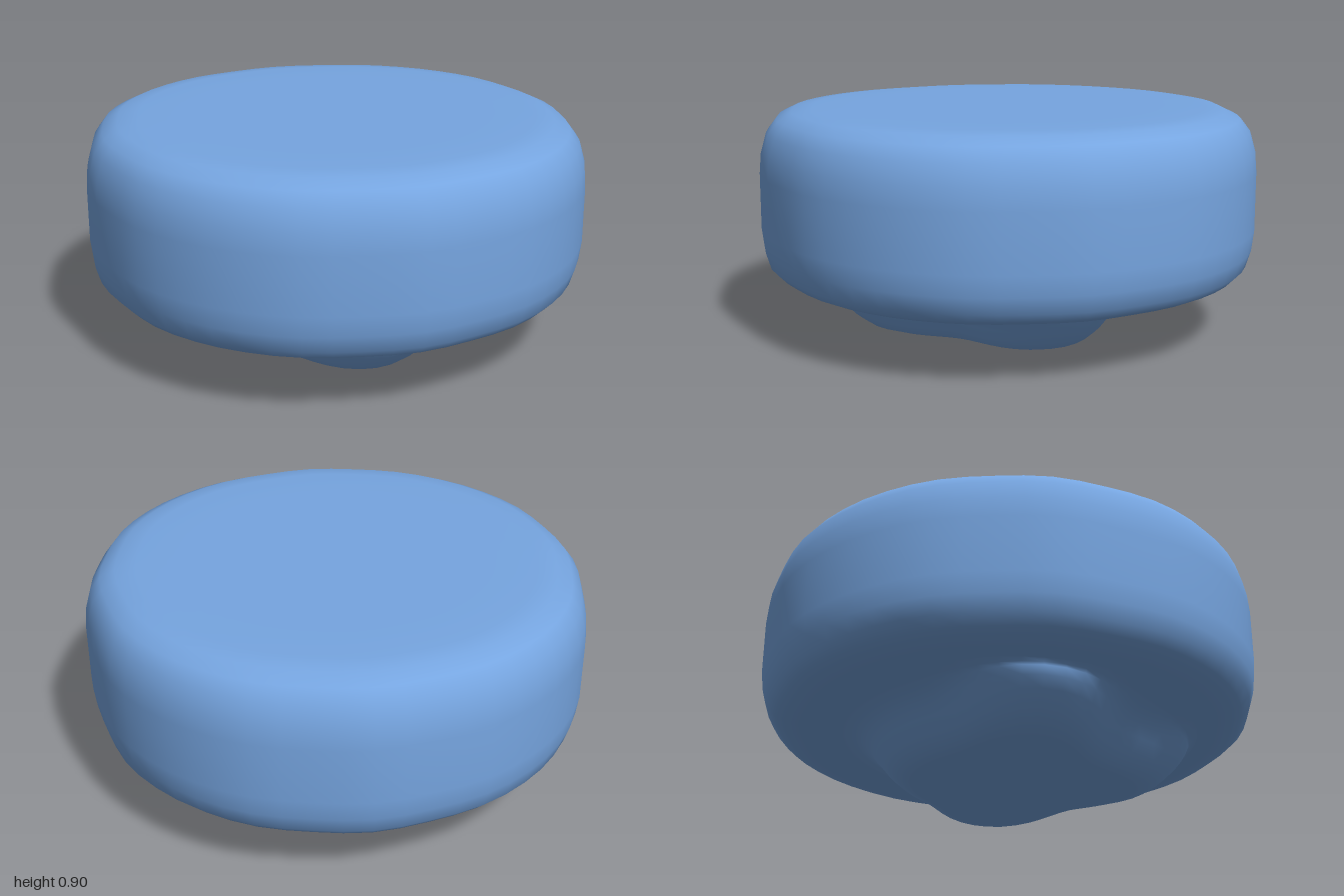
import * as THREE from 'three';
import { mergeVertices } from 'three/addons/utils/BufferGeometryUtils.js';

// Lathe a profile, move each vertex by a rule, then weld and smooth it.
function turned(profile, rule) {
  const points = profile.map(([r, y]) => new THREE.Vector2(r, y));
  let geo = new THREE.LatheGeometry(points, 56);
  geo.deleteAttribute('uv');
  geo.deleteAttribute('normal');
  const pos = geo.attributes.position;
  for (let i = 0; i < pos.count; i++) {
    const [x, y, z] = rule(pos.getX(i), pos.getY(i), pos.getZ(i));
    pos.setXYZ(i, x, y, z);
  }
  geo = mergeVertices(geo, 1e-4);
  geo.computeVertexNormals();
  return geo;
}

export function createModel() {
  const group = new THREE.Group();
  const blue = new THREE.MeshStandardMaterial({ color: 0x76a5e0 });
  blue.name = 'soft blue';

  // Broad round cap with soft rims and a slightly uneven outline
  const cap = new THREE.Mesh(turned([
    [0.74, 0.213], [0.82, 0.217], [0.89, 0.23], [0.935, 0.25], [0.97, 0.285],
    [0.99, 0.35], [1, 0.43], [1, 0.65], [0.993, 0.73], [0.97, 0.81], [0.93, 0.862],
    [0.87, 0.89], [0.79, 0.899], [0.6, 0.9], [0, 0.9],
  ], (x, y, z) => {
    const a = Math.atan2(z, x);
    const s = 1 - 0.012 * Math.sin(2 * a) ** 2 * (1 + 0.5 * Math.cos(12 * a));
    return [x * s, y, z * s];
  }), blue);
  cap.name = 'cap';
  group.add(cap);

  // Flared foot, a rounded square that blends into the round underside
  const foot = new THREE.Mesh(turned([
    [0, 0.004], [0.25, 0.004], [0.38, 0.01], [0.43, 0.03], [0.475, 0.07],
    [0.515, 0.12], [0.55, 0.16], [0.6, 0.192], [0.66, 0.208], [0.76, 0.215],
  ], (x, y, z) => {
    const r = Math.hypot(x, z);
    const a = Math.atan2(z, x);
    const corner = Math.sin(2 * a) ** 2;
    // The back right corner is cut off
    const cut = x < 0 && z < 0 ? 0.03 : 0.32;
    const blend = 1 - THREE.MathUtils.smoothstep(r, 0.5, 0.76);
    const s = 1 + cut * corner * blend;
    return [x * s - 0.02 * blend, y, z * s + 0.02 * blend];
  }), blue);
  foot.name = 'foot';
  group.add(foot);

  return group;
}
